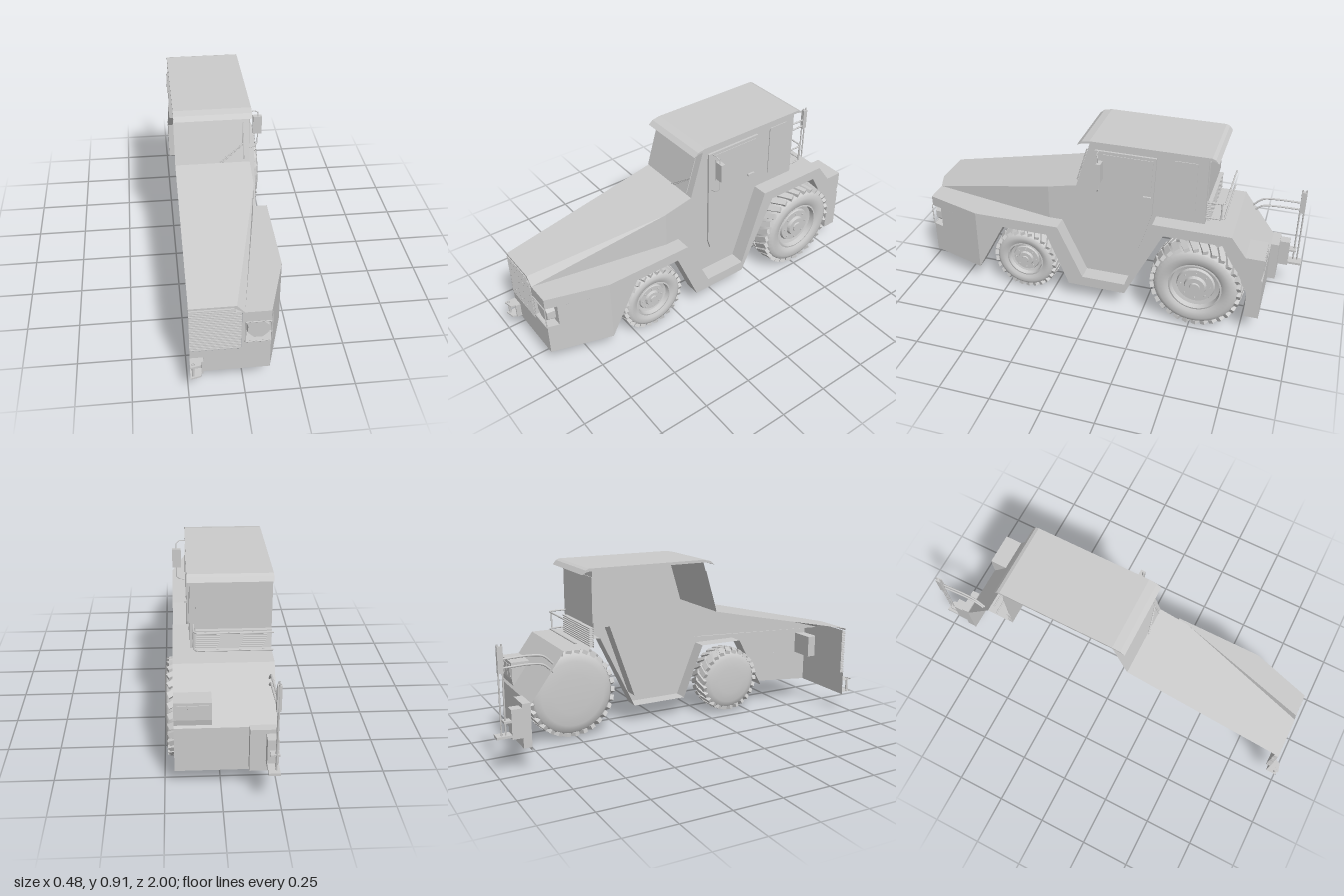
import * as THREE from 'three';
import { mergeGeometries, toCreasedNormals } from 'three/addons/utils/BufferGeometryUtils.js';

const CUT = -0.24, WALL = 0.125, OUT = 0.205; // centre plane, cab side, fender side

export function createModel() {
  const root = new THREE.Group();
  const mat = new THREE.MeshStandardMaterial({ color: 0xcccccc, side: THREE.DoubleSide });

  const add = (name, geo, parent = root) => {
    const m = new THREE.Mesh(geo, mat);
    m.name = name;
    parent.add(m);
    return m;
  };
  const boxGeo = (x0, x1, y0, y1, z0, z1) =>
    new THREE.BoxGeometry(x1 - x0, y1 - y0, z1 - z0)
      .translate((x0 + x1) / 2, (y0 + y1) / 2, (z0 + z1) / 2);
  const box = (name, ...b) => add(name, boxGeo(...b));
  // flat faces, each a convex list of corners
  const faces = (name, ...polys) => {
    const p = [];
    for (const f of polys)
      for (let i = 1; i < f.length - 1; i++) p.push(...f[0], ...f[i], ...f[i + 1]);
    const g = new THREE.BufferGeometry();
    g.setAttribute('position', new THREE.Float32BufferAttribute(p, 3));
    g.computeVertexNormals();
    return add(name, g);
  };
  // strip along a [z, y] line, running from x0 to x1
  const strip = (name, pts, x0, x1) => faces(name, ...pts.slice(1).map(([z, y], i) => {
    const [pz, py] = pts[i];
    return [[x0, py, pz], [x1, py, pz], [x1, y, z], [x0, y, z]];
  }));
  // upright plate from a [z, y] outline, starting at x with a thickness
  const plate = (name, pts, x, depth = 0) => {
    const s = new THREE.Shape(pts.map(([z, y]) => new THREE.Vector2(-z, y)));
    const g = depth ? new THREE.ExtrudeGeometry(s, { depth, bevelEnabled: false }) : new THREE.ShapeGeometry(s);
    return add(name, g.rotateY(Math.PI / 2).translate(x, 0, 0));
  };
  // bent rod through points
  const rod = (name, pts, r = 0.004) => {
    const path = new THREE.CurvePath();
    const v = pts.map((p) => new THREE.Vector3(...p));
    for (let i = 1; i < v.length; i++) path.add(new THREE.LineCurve3(v[i - 1], v[i]));
    return add(name, mergeGeometries(path.curves.map((c) => new THREE.TubeGeometry(c, 1, r, 8))));
  };
  const curvedRod = (name, pts, r = 0.005) => add(name, new THREE.TubeGeometry(
    new THREE.CatmullRomCurve3(pts.map((p) => new THREE.Vector3(...p))), 24, r, 8));

  // ---- Side fender with both wheel arches
  const frontArch = [[0.65, 0.1], [0.5, 0.38], [0.26, 0.38], [0.145, 0.1]];
  const rearArch = [[-0.155, 0.1], [-0.345, 0.49], [-0.635, 0.49], [-0.77, 0.24], [-0.77, 0.1]];
  const step = [[0.2, 0.435], [0.07, 0.155], [-0.155, 0.155], [-0.29, 0.545]];
  const rear = [[-0.675, 0.545], [-0.84, 0.32], [-0.84, 0.1]];
  plate('sideFender', [[0.65, 0.435], ...step, ...rear, ...[...rearArch].reverse(), ...[...frontArch].reverse()], OUT);
  strip('wheelArchLining', [...frontArch, ...rearArch, [-0.84, 0.1]], WALL, OUT);
  strip('stepWell', [...step, [-0.53, 0.545]], WALL, OUT);
  strip('rearDeck', [[-0.53, 0.545], ...rear], CUT, OUT);
  faces('frontFenderTop', [[0, 0.435, 0.945], [0.115, 0.435, 0.945], [OUT, 0.435, 0.65],
    [OUT, 0.435, 0.2], [WALL, 0.435, 0.2], [WALL, 0.435, 0.27]]);
  const taper = (y0, y1, x = 0.115, z = 0.945) => [[x, y0, z], [OUT, y0, 0.65], [OUT, y1, 0.65], [x, y1, z]];
  faces('taperedFenderFront', taper(0.1, 0.265), taper(0.265, 0.38, 0.132, 0.89), taper(0.38, 0.435));

  // ---- Nose panel with grille opening and headlamp notch
  const nose = new THREE.Shape([[CUT, 0.1], [0.115, 0.1], [0.115, 0.265], [0.005, 0.265], [0.005, 0.38],
    [0.115, 0.38], [0.115, 0.435], [0, 0.435], [-0.035, 0.475], [CUT, 0.475], [CUT, 0.465],
    [-0.05, 0.465], [-0.012, 0.44], [-0.012, 0.225], [CUT, 0.225]].map((p) => new THREE.Vector2(...p)));
  add('nosePanel', new THREE.ShapeGeometry(nose).translate(0, 0, 0.945));
  faces('grilleBacking', [[CUT, 0.22, 0.925], [-0.01, 0.22, 0.925], [-0.01, 0.44, 0.925], [-0.05, 0.467, 0.925], [CUT, 0.467, 0.925]]);
  const slats = [];
  for (let i = 0; i < 24; i++) {
    const y = 0.228 + i * 0.0098;
    slats.push(boxGeo(CUT, y > 0.44 ? -0.04 : -0.014, y, y + 0.005, 0.925, 0.947));
  }
  add('grilleSlats', mergeGeometries(slats));
  faces('headlampRecess',
    [[0.005, 0.265, 0.89], [0.132, 0.265, 0.89], [0.132, 0.38, 0.89], [0.005, 0.38, 0.89]],
    [[0.005, 0.265, 0.89], [0.005, 0.265, 0.945], [0.005, 0.38, 0.945], [0.005, 0.38, 0.89]],
    ...[0.265, 0.38].map((y) => [[0.005, y, 0.89], [0.132, y, 0.89], [0.115, y, 0.945], [0.005, y, 0.945]]));
  add('headlamp', toCreasedNormals(new THREE.CylinderGeometry(0.05, 0.057, 0.04, 8).rotateY(Math.PI / 8)
    .rotateX(Math.PI / 2).translate(0.062, 0.323, 0.915), 0.3));
  rod('headlampGuard', [[0.003, 0.265, 0.948], [0.117, 0.265, 0.948], [0.117, 0.38, 0.948], [0.003, 0.38, 0.948], [0.003, 0.265, 0.948]], 0.003);

  // ---- Bonnet
  faces('bonnet',
    [[CUT, 0.475, 0.945], [-0.035, 0.475, 0.945], [WALL, 0.617, 0.27], [CUT, 0.617, 0.27]],
    [[CUT, 0.617, 0.27], [WALL, 0.617, 0.27], [WALL, 0.65, 0.12], [CUT, 0.65, 0.12]],
    [[-0.035, 0.475, 0.945], [0, 0.435, 0.945], [WALL, 0.617, 0.27]],
    [[0, 0.435, 0.945], [WALL, 0.435, 0.27], [WALL, 0.617, 0.27]]);

  // ---- Cab
  plate('cabSide', [[0.27, 0.435], [0.27, 0.617], [0.12, 0.65], [0.045, 0.9], [-0.53, 0.9], [-0.53, 0.545], ...[...step].reverse()], WALL);
  strip('windscreen', [[0.12, 0.65], [0.045, 0.9]], CUT, WALL);
  strip('windscreenGlass', [[0.122, 0.655], [0.062, 0.855]], CUT, 0.1);
  strip('cabRear', [[-0.53, 0.9], [-0.53, 0.545]], CUT, WALL);
  box('rearWindow', CUT, 0.1, 0.66, 0.87, -0.534, -0.53);
  plate('roof', [[0.108, 0.883], [0.085, 0.902], [0.045, 0.91], [-0.545, 0.91], [-0.562, 0.903], [-0.578, 0.883],
    [-0.56, 0.893], [-0.54, 0.897], [0.045, 0.897], [0.082, 0.893]], CUT, 0.377);
  plate('door', [[0.02, 0.865], [0.02, 0.34], [0.005, 0.29], [-0.205, 0.335], [-0.27, 0.55], [-0.285, 0.865]], WALL, 0.011);
  plate('doorWindow', [[-0.02, 0.85], [-0.02, 0.685], [-0.262, 0.68], [-0.27, 0.85]], 0.136, 0.003);
  box('doorHandle', 0.136, 0.146, 0.645, 0.655, -0.265, -0.225);
  plate('rearSideWindow', [[-0.37, 0.865], [-0.37, 0.6], [-0.48, 0.6], [-0.48, 0.865]], WALL, 0.004);
  const onScreen = (x, y) => [x, y, 0.13 - 0.3 * (y - 0.65)];
  rod('wiperArm', [onScreen(-0.025, 0.657), onScreen(0.095, 0.745)], 0.003);
  rod('wiperLink', [onScreen(-0.01, 0.657), onScreen(0.095, 0.74)], 0.002);
  rod('wiperBlade', [onScreen(0.095, 0.668), onScreen(0.095, 0.845)], 0.003);

  // ---- Mirror on its bracket
  rod('mirrorBracket', [[WALL, 0.862, 0], [0.165, 0.862, 0], [0.18, 0.85, -0.01], [0.18, 0.675, -0.01], [0.165, 0.66, 0], [WALL, 0.652, 0]], 0.0025);
  box('mirror', 0.157, 0.2, 0.73, 0.826, -0.028, -0.005);

  // ---- Louvre and guard rail behind the cab
  const louvre = [];
  for (let i = 0; i < 9; i++) louvre.push(boxGeo(CUT, 0.1, 0.553 + i * 0.01, 0.558 + i * 0.01, -0.55, -0.53));
  add('rearLouvre', mergeGeometries(louvre));
  for (const y of [0.575, 0.66])
    rod('rearRail', [[0.11, y, -0.53], [0.11, y, -0.6], [0.095, y, -0.618], [CUT, y, -0.618]]);
  rod('rearRailPost', [[0.11, 0.575, -0.605], [0.11, 0.66, -0.605]]);

  // ---- Rear lamp housing
  plate('rearLampHousing', [[-0.748, 0.445], [-0.838, 0.445], [-0.838, 0.36], [-0.83, 0.32], [-0.8, 0.36]], 0.04, OUT - 0.04);
  for (let i = 0; i < 3; i++)
    box('rearLamp', 0.054 + i * 0.048, 0.095 + i * 0.048, 0.372, 0.432, -0.842, -0.836);

  // ---- Rear coupling with release post and hoses
  box('couplingMount', CUT, -0.12, 0.12, 0.33, -0.88, -0.84);
  box('couplingBlock', CUT, -0.19, 0.17, 0.31, -0.93, -0.88);
  box('couplingPlate', CUT, -0.19, 0.18, 0.192, -1, -0.93);
  box('couplingUpperPlate', CUT, -0.2, 0.25, 0.26, -0.965, -0.93);
  for (const z of [-0.955, -0.975]) rod('couplingPost', [[-0.225, 0.19, z], [-0.225, 0.61, z]]);
  box('couplingPostHead', -0.235, -0.215, 0.48, 0.6, -0.978, -0.952);
  for (const y of [0.5, 0.54])
    curvedRod('couplingHose', [[-0.215, y - 0.05, -0.72], [-0.215, y - 0.01, -0.765], [-0.215, y, -0.82], [-0.22, y, -0.955]]);

  // ---- Front tow bracket
  for (const y of [0.112, 0.178])
    faces('frontTowPlate', ...[0, 0.008].map((d) => [[CUT, y + d, 0.945], [-0.18, y + d, 0.945], [-0.195, y + d, 0.99], [CUT, y + d, 1]]),
      [[-0.18, y, 0.945], [-0.195, y, 0.99], [-0.195, y + 0.008, 0.99], [-0.18, y + 0.008, 0.945]],
      [[-0.195, y, 0.99], [CUT, y, 1], [CUT, y + 0.008, 1], [-0.195, y + 0.008, 0.99]]);
  rod('frontTowPin', [[-0.228, 0.108, 0.985], [-0.228, 0.19, 0.985]], 0.006);
  box('frontTowSide', -0.19, -0.182, 0.112, 0.186, 0.945, 0.97);

  // ---- Wheels: w width, r radius, rim radius, n tread bars per side
  const wheel = (name, x0, w, r, rim, y, z, n) => {
    const g = new THREE.Group();
    g.name = name;
    g.position.set(x0, y, z);
    root.add(g);
    const lathe = (part, pts) => add(part, toCreasedNormals(new THREE.LatheGeometry(
      pts.map((p) => new THREE.Vector2(...p)), 48).rotateZ(-Math.PI / 2), 0.6), g);
    const c = r - 0.009;
    lathe('tyre', [[0.0001, 0], [c * 0.45, 0.002], [c * 0.75, 0.006], [c * 0.9, 0.014], [c * 0.97, w * 0.17], [c, w * 0.35],
      [c, w * 0.65], [c * 0.97, w * 0.83], [c * 0.91, w * 0.95], [c * 0.82, w], [rim + 0.015, w * 0.98], [rim, w * 0.93]]);
    lathe('rim', [[rim, w * 0.93], [rim - 0.008, w * 0.94], [rim - 0.014, w * 0.8], [rim * 0.72, w * 0.77],
      [rim * 0.68, w * 0.84], [rim * 0.42, w * 0.84], [rim * 0.38, w * 0.93], [rim * 0.2, w * 0.93], [rim * 0.18, w * 0.97], [0.0001, w * 0.97]]);
    // slanted tread bars mirrored about the tyre centre
    const bars = [], nuts = [];
    for (let i = 0; i < n; i++) for (const s of [-1, 1])
      bars.push(new THREE.BoxGeometry(w * 0.46, 0.02, r * 3.6 / n).rotateY(s * 0.45).rotateZ(-s * 0.12)
        .translate(w / 2 + s * w * 0.225, r - 0.011, 0).rotateX((i + (s > 0 ? 0.5 : 0)) / n * Math.PI * 2));
    add('treadBars', mergeGeometries(bars), g);
    for (let i = 0; i < 8; i++)
      nuts.push(new THREE.CylinderGeometry(0.005, 0.005, 0.012, 6).rotateZ(Math.PI / 2)
        .translate(w * 0.85, rim * 0.55, 0).rotateX(i / 8 * Math.PI * 2));
    add('wheelNuts', mergeGeometries(nuts), g);
  };
  wheel('frontWheel', 0.045, 0.145, 0.174, 0.1, 0.182, 0.395, 26);
  wheel('rearWheel', 0.06, 0.18, 0.232, 0.134, 0.236, -0.52, 30);
  return root;
}
